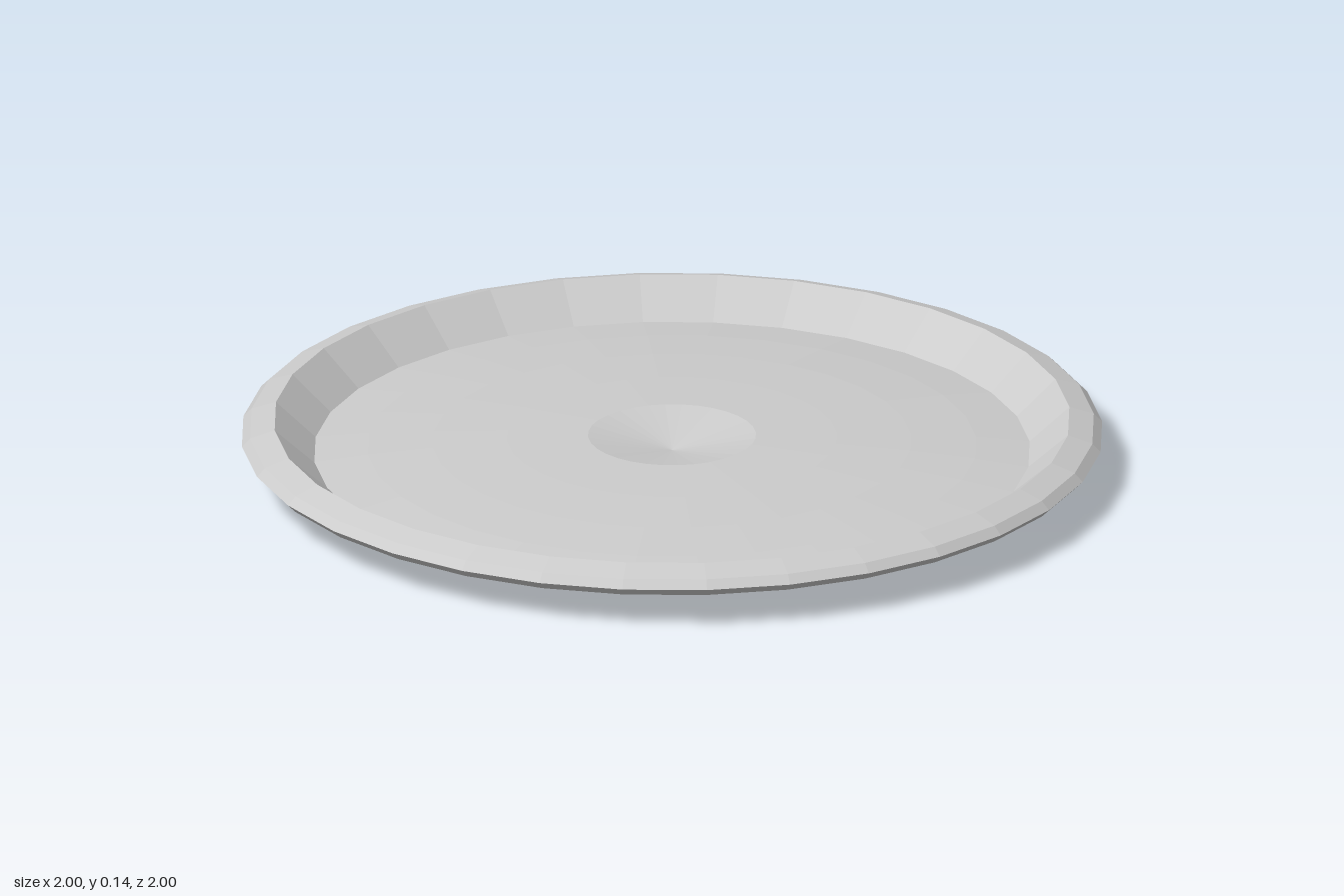
import * as THREE from 'three';

// A flattened sphere whose upper middle has been pressed down to form a tray.
export function createModel() {
  const group = new THREE.Group();
  group.name = 'dish';
  const material = new THREE.MeshStandardMaterial({ color: 0xcccccc, flatShading: true });

  const RINGS = 16, SIDES = 32, HALF_HEIGHT = 0.1;
  const RIM_RING = 10; // highest ring, the lip of the dish

  // Elliptical profile from the bottom pole to the top pole
  const ring = (i) => {
    const a = (i / RINGS) * Math.PI;
    return new THREE.Vector2(Math.sin(a), HALF_HEIGHT * (1 - Math.cos(a)));
  };

  // Rounded underside and outer rim
  const shell = [];
  for (let i = 0; i <= RIM_RING; i++) shell.push(ring(i));

  // Inner wall and gently domed floor, dropped by the half height
  const tray = [ring(RIM_RING)];
  for (let i = RIM_RING + 1; i < RINGS; i++) {
    const p = ring(i);
    p.y -= HALF_HEIGHT;
    tray.push(p);
  }
  // Shallow conical dent in the middle
  tray.push(new THREE.Vector2(0, 0.06));

  const addLathe = (name, profile) => {
    const mesh = new THREE.Mesh(new THREE.LatheGeometry(profile, SIDES), material);
    mesh.name = name;
    group.add(mesh);
  };
  addLathe('outerShell', shell);
  addLathe('innerTray', tray);
  return group;
}
